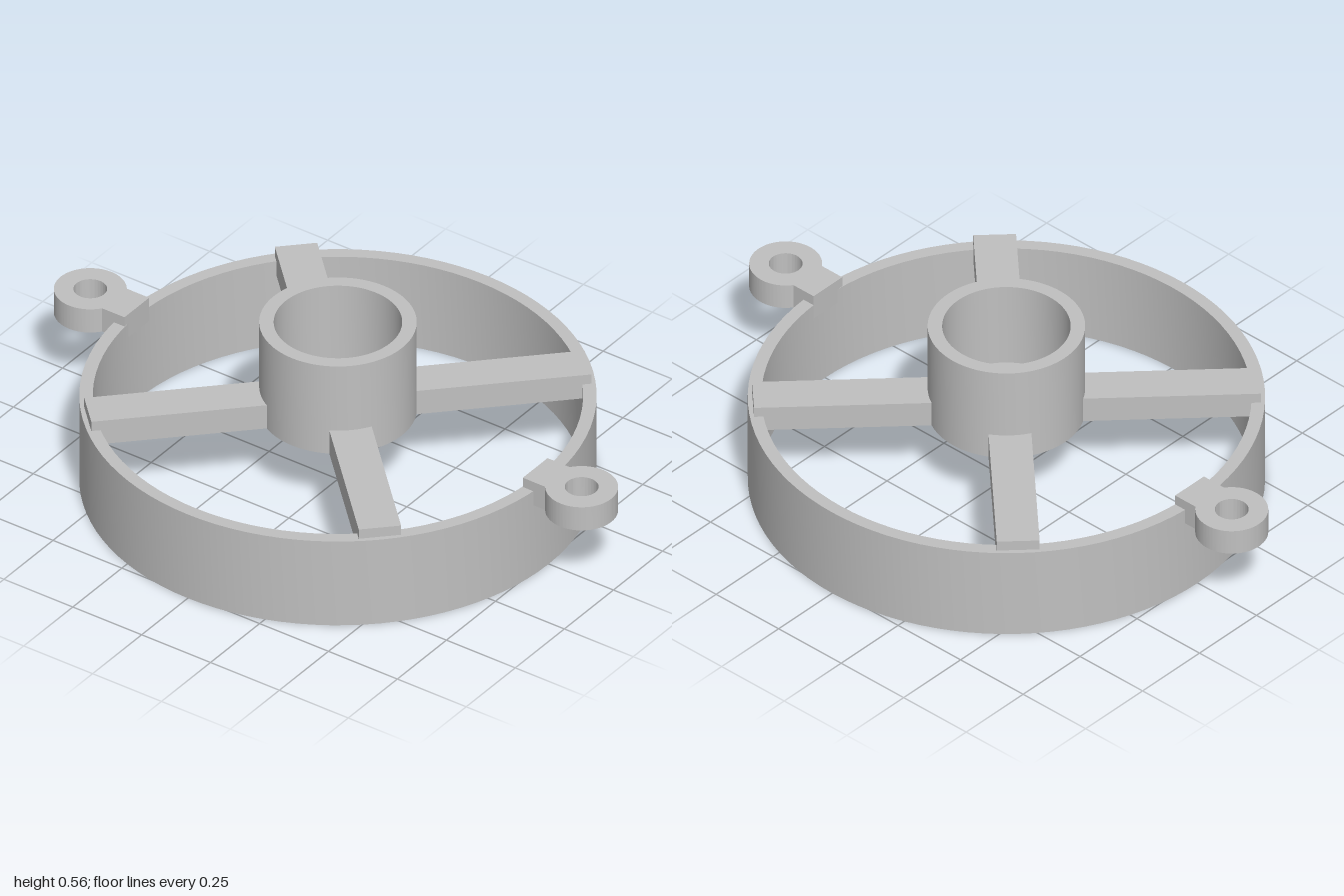
import * as THREE from 'three';
import { toCreasedNormals } from 'three/addons/utils/BufferGeometryUtils.js';

const DECK = 0.25, DECK_TOP = 0.333; // shared level of spokes and lugs

export function createModel() {
  const group = new THREE.Group();
  const grey = new THREE.MeshStandardMaterial({ color: 0xc0c0c0 });
  grey.name = 'plain grey';

  const add = (name, geometry) => {
    const mesh = new THREE.Mesh(geometry, grey);
    mesh.name = name;
    group.add(mesh);
    return mesh;
  };

  // Turned part from a closed [radius, height] profile with sharp edges
  const turned = (profile) => toCreasedNormals(
    new THREE.LatheGeometry(profile.map(([r, y]) => new THREE.Vector2(r, y)), 96), 0.5);

  // Outer ring
  add('outerRing', turned([[0.725, 0], [0.765, 0], [0.765, 0.3], [0.725, 0.3], [0.725, 0]]));

  // Hub cup with a thin floor and a centre hole
  const floor = DECK + 0.033;
  add('hub', turned([
    [0.067, DECK], [0.233, DECK], [0.233, 0.563], [0.19, 0.563],
    [0.19, floor], [0.067, floor], [0.067, DECK],
  ]));

  // Four diagonal spokes from the hub wall onto the ring
  const inner = 0.205, outer = 0.75;
  for (let i = 0; i < 4; i++) {
    const geometry = new THREE.BoxGeometry(outer - inner, DECK_TOP - DECK, 0.127);
    geometry.translate((inner + outer) / 2, (DECK + DECK_TOP) / 2, 0);
    add('spoke', geometry).rotation.y = Math.PI / 4 + i * Math.PI / 2;
  }

  // Two mounting lugs: a round eye with a short tab reaching over the ring
  const cx = -0.01, cz = 0.892, radius = 0.108, half = 0.063, tabEnd = 0.723;
  const join = Math.asin(half / radius);
  const outline = new THREE.Shape();
  outline.moveTo(cx - half, tabEnd);
  outline.lineTo(cx + half, tabEnd);
  outline.absarc(cx, cz, radius, -Math.PI / 2 + join, 1.5 * Math.PI - join, false);
  outline.closePath();
  const hole = new THREE.Path();
  hole.absarc(cx, cz, 0.05, 0, Math.PI * 2, true);
  outline.holes.push(hole);
  const lug = toCreasedNormals(new THREE.ExtrudeGeometry(outline, {
    depth: DECK_TOP - DECK, bevelEnabled: false, curveSegments: 48,
  }), 0.5);
  add('frontLug', lug.clone().rotateX(Math.PI / 2).translate(0, DECK_TOP, 0));
  add('backLug', lug.clone().rotateX(-Math.PI / 2).translate(0, DECK, 0));

  return group;
}
